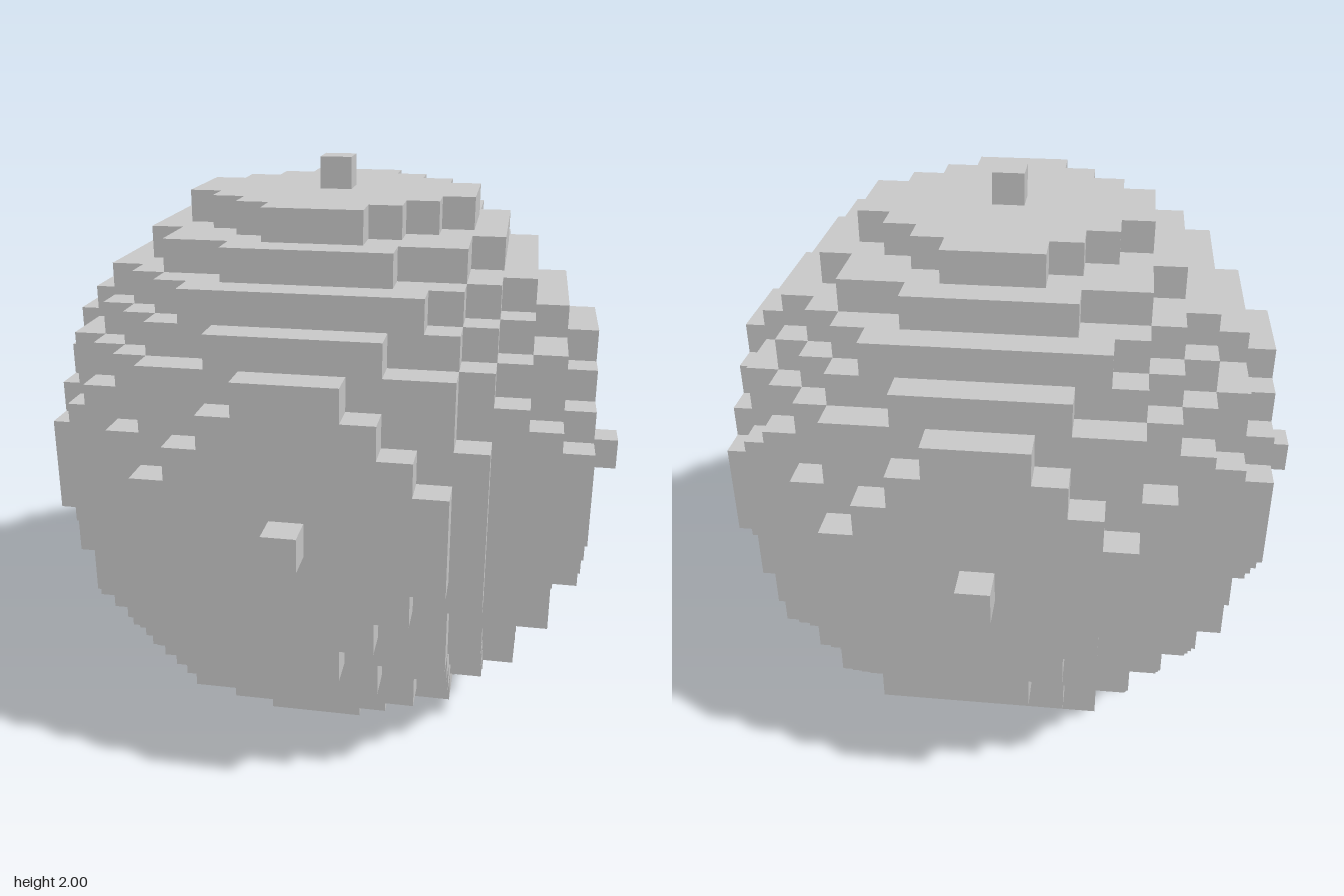
import * as THREE from 'three';

const RADIUS = 9;                      // in voxels
const SIZE = 2 / (2 * RADIUS + 1);     // voxel edge length

const filled = (p) => p[0] ** 2 + p[1] ** 2 + p[2] ** 2 <= RADIUS ** 2;

// Outer faces of a voxel sphere, one square per exposed voxel side
function voxelSphereGeometry() {
  const positions = [], normals = [], indices = [];

  function addFace(voxel, axis, sign) {
    const u = (axis + 1) % 3, v = (axis + 2) % 3;
    const start = positions.length / 3;
    for (const [a, b] of [[-0.5, -0.5], [0.5, -0.5], [0.5, 0.5], [-0.5, 0.5]]) {
      const corner = [...voxel], normal = [0, 0, 0];
      corner[axis] += sign * 0.5;
      corner[u] += a * sign;           // mirrored on negative sides to keep the winding outward
      corner[v] += b;
      normal[axis] = sign;
      positions.push(...corner.map((c) => c * SIZE));
      normals.push(...normal);
    }
    indices.push(start, start + 1, start + 2, start, start + 2, start + 3);
  }

  for (let x = -RADIUS; x <= RADIUS; x++)
    for (let y = -RADIUS; y <= RADIUS; y++)
      for (let z = -RADIUS; z <= RADIUS; z++) {
        const voxel = [x, y, z];
        if (!filled(voxel)) continue;
        for (let axis = 0; axis < 3; axis++)
          for (const sign of [-1, 1]) {
            const neighbour = [...voxel];
            neighbour[axis] += sign;
            if (!filled(neighbour)) addFace(voxel, axis, sign);
          }
      }

  const geometry = new THREE.BufferGeometry();
  geometry.setAttribute('position', new THREE.Float32BufferAttribute(positions, 3));
  geometry.setAttribute('normal', new THREE.Float32BufferAttribute(normals, 3));
  geometry.setIndex(indices);
  return geometry;
}

export function createModel() {
  const group = new THREE.Group();
  group.name = 'voxelSphere';

  // Stepped ball with a single voxel at each pole
  const material = new THREE.MeshStandardMaterial({ color: 0xcccccc, flatShading: true });
  const ball = new THREE.Mesh(voxelSphereGeometry(), material);
  ball.name = 'steppedBall';
  ball.position.y = 1;
  group.add(ball);

  return group;
}
